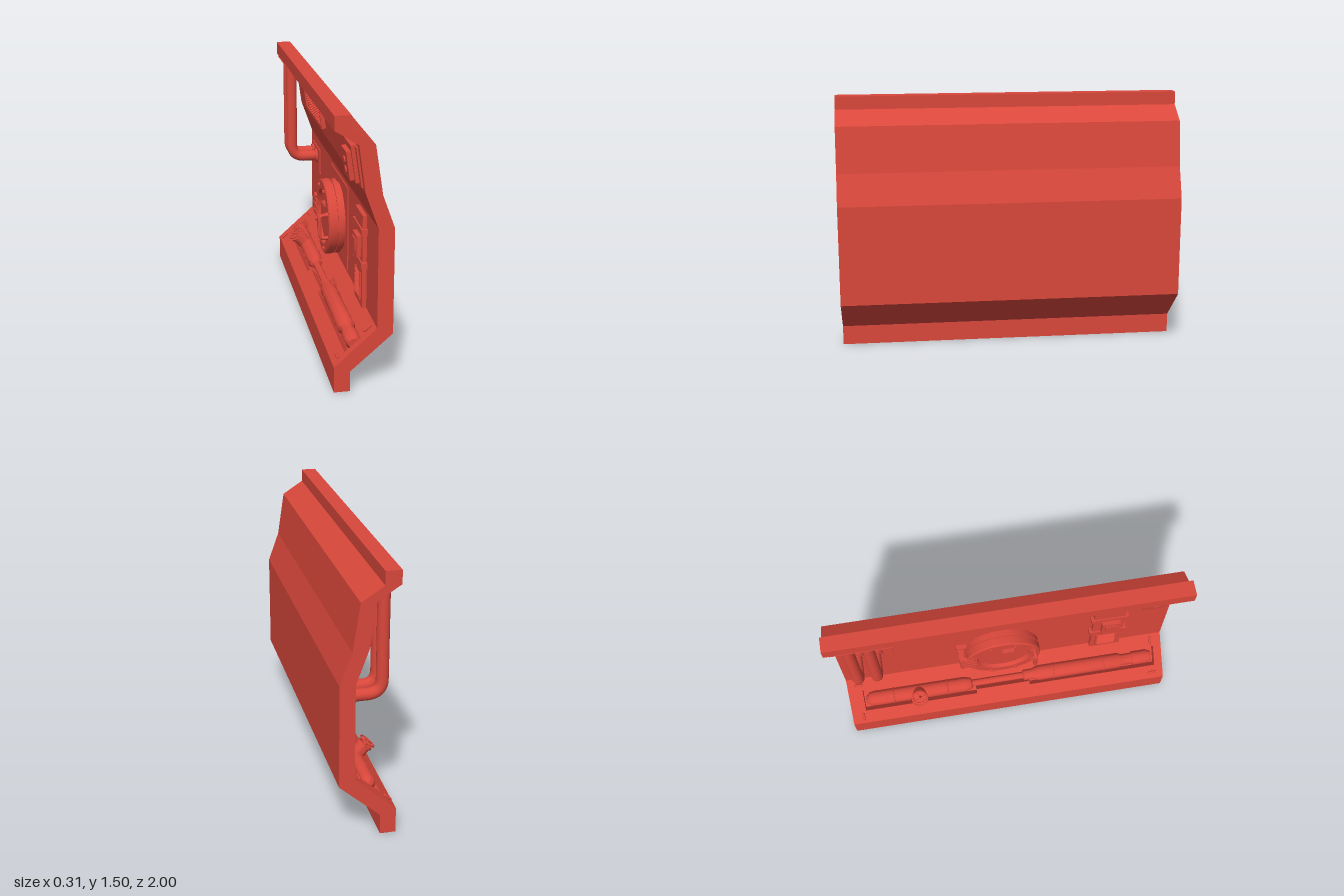
import * as THREE from 'three';
import { toCreasedNormals } from 'three/addons/utils/BufferGeometryUtils.js';

const red = new THREE.MeshStandardMaterial({ color: 0xd9473b });

function add(parent, name, geo, x = 0, y = 0, z = 0) {
  const m = new THREE.Mesh(geo, red);
  m.name = name;
  m.position.set(x, y, z);
  parent.add(m);
  return m;
}
const box = (p, name, w, h, d, x, y, z) => add(p, name, new THREE.BoxGeometry(w, h, d), x, y, z);

// Turned part whose axis is local z; points are [radius, height]
const turned = (pts, seg = 40) => toCreasedNormals(
  new THREE.LatheGeometry(pts.map(([r, h]) => new THREE.Vector2(r, h)), seg).rotateX(Math.PI / 2), 0.6);

const shapeOf = pts => new THREE.Shape(pts.map(([x, y]) => new THREE.Vector2(x, y)));

function tube(points, r, seg = 32) {
  const curve = new THREE.CurvePath();
  const v = points.map(p => new THREE.Vector3(...p));
  // Straight runs joined by rounded corners
  let start = v[0];
  for (let i = 1; i < v.length - 1; i++) {
    const a = v[i].clone().lerp(v[i - 1], Math.min(0.45, r * 2.4 / v[i].distanceTo(v[i - 1])));
    const b = v[i].clone().lerp(v[i + 1], Math.min(0.8, r * 2.4 / v[i].distanceTo(v[i + 1])));
    curve.add(new THREE.LineCurve3(start, a));
    curve.add(new THREE.QuadraticBezierCurve3(a, v[i], b));
    start = b;
  }
  curve.add(new THREE.LineCurve3(start, v[v.length - 1]));
  return new THREE.TubeGeometry(curve, seg, r, 16);
}

// Frame on an inner face: local x runs along world z, local y up the face, local z outward
function face(root, name, x, y, ux, uy) {
  const g = new THREE.Group();
  g.name = name;
  const l = Math.hypot(ux, uy);
  g.matrix.makeBasis(new THREE.Vector3(0, 0, 1), new THREE.Vector3(ux / l, uy / l, 0), new THREE.Vector3(-uy / l, ux / l, 0));
  g.quaternion.setFromRotationMatrix(g.matrix);
  g.position.set(x, y, 0);
  root.add(g);
  return g;
}

// Wall in sections along z, with a trough of half width hw cut in the lower slope
function buildWall(root) {
  const outer = [[-0.16, 0], [-0.073, 0], [-0.073, 0.115], [0.155, 0.315], [0.155, 0.9], [0.09, 1.08], [0.05, 1.345],
    [-0.073, 1.425], [-0.073, 1.5], [-0.16, 1.5], [-0.16, 1.425], [-0.035, 1.345], [0, 1.095], [0.07, 0.9], [0.07, 0.35]];
  const ux = 0.747, uy = 0.665;
  const at = (v, n) => [-0.045 + ux * v - uy * n, 0.2475 + uy * v + ux * n];
  const sections = [[-1, -0.91, 0], [-0.91, -0.2, 0.07], [-0.2, 0.14, 0.042], [0.14, 0.95, 0.065], [0.95, 1, 0]];
  for (const [z0, z1, hw] of sections) {
    const cut = hw ? [at(hw, 0), at(hw, -0.055), at(-hw, -0.055), at(-hw, 0)] : [];
    const geo = new THREE.ExtrudeGeometry(shapeOf([...outer, ...cut, [-0.16, 0.145]]), { depth: z1 - z0, bevelEnabled: false });
    add(root, 'wallSection', geo, 0, 0, z0);
  }
}

function buildHatch(wall) {
  const g = new THREE.Group();
  g.name = 'roundHatch';
  g.position.set(-0.02, 0.625, 0);
  wall.add(g);
  box(g, 'hatchBackPlate', 0.52, 0.5, 0.006, 0, 0, 0.003);
  add(g, 'hatchSeat', turned([[0.205, 0], [0.205, 0.022], [0.222, 0.022], [0.222, 0.05], [0.212, 0.05], [0.212, 0.062]], 48));
  add(g, 'hatchLid', turned([[0.2, 0.06], [0.225, 0.06], [0.225, 0.1], [0.217, 0.107], [0.165, 0.107], [0.15, 0.088], [0, 0.088]], 48));
  for (let i = 0; i < 8; i++) {
    const a = (i + 0.5) * Math.PI / 4;
    add(g, 'lidBolt', turned([[0.01, 0], [0.01, 0.015], [0, 0.015]], 6), 0.192 * Math.cos(a), 0.192 * Math.sin(a), 0.105);
  }
  add(g, 'lidHandle', tube([[0.188, -0.07, 0.1], [0.188, -0.07, 0.155], [0.188, 0.07, 0.155], [0.188, 0.07, 0.1]], 0.011, 40));
  box(g, 'lidLatch', 0.07, 0.014, 0.025, 0.03, 0.09, 0.1);
  // Hinge
  box(g, 'hingePlate', 0.06, 0.13, 0.03, -0.24, 0, 0.018);
  for (const y of [-0.04, 0, 0.04]) {
    box(g, 'hingeArm', 0.1, 0.022, 0.03, -0.21, y, 0.1);
    box(g, 'hingeLug', 0.03, 0.022, 0.09, -0.25, y, 0.06);
  }
  add(g, 'hingePin', new THREE.CylinderGeometry(0.014, 0.014, 0.13, 16), -0.25, 0, 0.1);
}

function buildEquipmentPanel(wall) {
  const g = new THREE.Group();
  g.name = 'equipmentPanel';
  g.position.set(0.635, 0, 0);
  wall.add(g);
  box(g, 'panelBase', 0.19, 0.53, 0.024, 0, 0.615, 0.012);
  for (const y of [0.6, 0.79]) {
    box(g, 'panelBand', 0.2, 0.03, 0.01, 0, y, 0.027);
    for (const s of [-1, 1]) box(g, 'bandLug', 0.025, 0.034, 0.034, s * 0.1, y, 0.017);
  }
  box(g, 'controlBox', 0.11, 0.12, 0.03, 0.01, 0.695, 0.035);
  box(g, 'controlCover', 0.07, 0.07, 0.01, 0.01, 0.7, 0.053);
  for (let i = 0; i < 5; i++) box(g, 'louvre', 0.11, 0.012, 0.014, 0, 0.405 + i * 0.03, 0.028).rotation.x = 0.5;
  for (const s of [-1, 1]) box(g, 'louvreFrame', 0.01, 0.16, 0.012, s * 0.06, 0.465, 0.027);
}

function buildPipes(root, wall) {
  for (const z of [-0.88, -0.77]) {
    add(root, 'verticalPipe', tube([[-0.102, 1.4, z], [-0.102, 0.785, z], [0.07, 0.785, z]], 0.034, 64));
    add(wall, 'pipeCollar', turned([[0.046, 0], [0.046, 0.018], [0.03, 0.018]], 24), z, 0.785, 0.004);
  }
  box(wall, 'pipeWallPlate', 0.27, 0.16, 0.008, -0.8, 0.765, 0.004);
  const ceiling = face(root, 'ceilingFace', -0.0975, 1.385, -0.125, 0.08);
  box(ceiling, 'pipeCeilingPlate', 0.34, 0.13, 0.012, -0.8, 0, 0.004);
}

function buildUpper(upper) {
  // Grille
  const w = 0.55, h = 0.18, cx = -0.315, cy = 0.155;
  box(upper, 'grilleBack', w, h, 0.006, cx, cy, 0.003);
  for (const s of [-1, 1]) {
    box(upper, 'grilleRail', w, 0.014, 0.026, cx, cy + s * (h / 2 - 0.007), 0.013);
    box(upper, 'grilleSide', 0.014, h, 0.026, cx + s * (w / 2 - 0.007), cy, 0.013);
    for (let i = 0; i < 15; i++) {
      const bar = box(upper, 'grilleBar', 0.006, 0.18, 0.01, cx + (i - 7) * 0.029, cy, 0.015 + s * 0.003);
      bar.rotation.z = s * 0.55;
    }
  }
  // Cover plate with a switch box
  box(upper, 'coverPlate', 0.63, 0.215, 0.01, 0.645, 0.125, 0.005);
  box(upper, 'switchBase', 0.17, 0.2, 0.03, 0.84, 0.135, 0.015);
  box(upper, 'switchBox', 0.13, 0.155, 0.025, 0.84, 0.125, 0.042);
  for (const y of [0.09, 0.145]) {
    add(upper, 'switchKnob', turned([[0.02, 0], [0.02, 0.008], [0, 0.008]], 20), 0.84, y, 0.054);
  }
}

function buildSlope(slope) {
  // Long strut lying in the trough, profile as [radius, distance along the wall]
  const strut = turned([[0, -0.9], [0.025, -0.89], [0.042, -0.87], [0.047, -0.84], [0.047, -0.27], [0.036, -0.23], [0.022, -0.22],
    [0.022, 0.1], [0.034, 0.11], [0.034, 0.16], [0.048, 0.2], [0.048, 0.72], [0.036, 0.74], [0.036, 0.8],
    [0.044, 0.81], [0.044, 0.9], [0.03, 0.93], [0, 0.93]], 32);
  strut.rotateY(Math.PI / 2);
  add(slope, 'strut', strut, 0, 0, -0.012);
  for (const x of [-0.72, -0.38, 0.3, 0.62]) {
    add(slope, 'strutBand', new THREE.TorusGeometry(0.047, 0.004, 8, 32), x, 0, -0.012).rotation.y = Math.PI / 2;
  }
  // Valve standing on the strut
  const valve = new THREE.Group();
  valve.name = 'valve';
  valve.position.set(-0.56, 0, 0);
  slope.add(valve);
  add(valve, 'valveBody', turned([[0.042, -0.03], [0.042, 0.075], [0.048, 0.075], [0.048, 0.088], [0.036, 0.088], [0.036, 0.08], [0, 0.08]], 32));
  add(valve, 'valveStem', turned([[0.01, 0.075], [0.01, 0.112], [0, 0.112]], 12));
  add(valve, 'valveWheel', new THREE.TorusGeometry(0.047, 0.005, 8, 32), 0, 0, 0.105);
  for (const a of [0.4, 0.4 + Math.PI / 2]) box(valve, 'wheelSpoke', 0.09, 0.01, 0.006, 0, 0, 0.105).rotation.z = a;
  // Corner clips
  for (const sx of [-1, 1]) for (const sy of [-1, 1]) {
    const clip = add(slope, 'cornerClip', new THREE.CapsuleGeometry(0.008, 0.04, 4, 10), sx * 0.93, sy * 0.11, 0.006);
    clip.rotation.z = sx * sy > 0 ? 0 : Math.PI / 2;
  }
}

export function createModel() {
  const root = new THREE.Group();
  root.name = 'wallPanel';
  buildWall(root);
  const wall = face(root, 'wallFace', 0.07, 0, 0, 1);
  buildHatch(wall);
  buildEquipmentPanel(wall);
  buildPipes(root, wall);
  buildUpper(face(root, 'upperFace', 0, 1.095, -0.035, 0.25));
  buildSlope(face(root, 'slopeFace', -0.045, 0.2475, 0.23, 0.205));
  return root;
}
